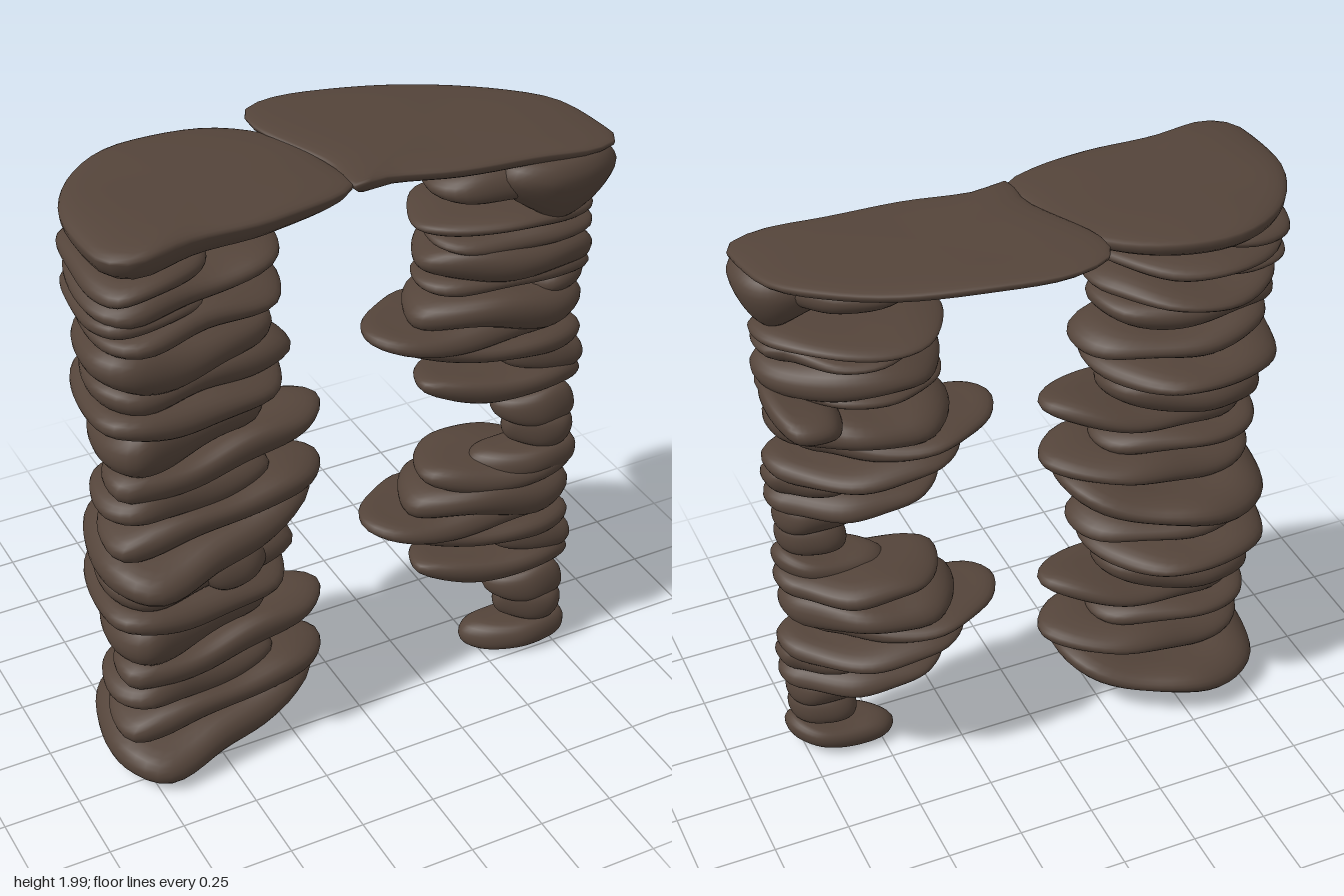
import * as THREE from 'three';

const material = new THREE.MeshStandardMaterial({ color: 0x54443a, roughness: 0.9 });

// Unit outlines: u runs from the outer to the inner end, v from back to front
const WIDE = [[0, .5], [.01, .85], [.13, 1], [.5, .97], [.88, .88], [.99, .7], [1, .48], [.92, .27], [.7, .06], [.4, 0], [.11, .14]];
const TAPERED = [[0, .58], [0, .88], [.2, 1], [.55, .97], [.9, .8], [1, .6], [.95, .3], [.8, .08], [.6, 0], [.35, .1], [.12, .4]];
const ROUND = [[0, .3], [0, .75], [.2, 1], [.7, 1], [1, .7], [.97, .25], [.75, 0], [.2, 0]];
const POINTED = [[0, .5], [0, .85], [.2, 1], [.5, .97], [.85, .66], [1, .36], [.9, .08], [.65, 0], [.2, .15]];

// Lofts a closed plan outline into a smooth slab; rim is the level of its widest line, from -1 to 1
function slab(name, points, heightAt, thickAt, seed, lumps = 1, rim = 0) {
  const N = 48, R = 14;
  const curve = new THREE.CatmullRomCurve3(points.map(([x, z]) => new THREE.Vector3(x, 0, z)), true, 'centripetal');
  let ring = curve.getSpacedPoints(N).slice(0, N);
  if (THREE.ShapeUtils.area(ring.map(p => new THREE.Vector2(p.x, p.z))) < 0) ring = ring.reverse();
  const c = ring.reduce((s, p) => s.add(p), new THREE.Vector3()).divideScalar(N);
  const pos = [], index = [];
  const add = (x, z, t) => {
    const wave = .08 * Math.sin(9 * x + 5 * z + seed * 2.3) + .05 * Math.sin(17 * x - 11 * z + seed);
    const swell = 1 + .1 * lumps * Math.sin(12 * x + 8 * z + seed * 4.1);
    const level = rim + (t > 0 ? 1 - rim : 1 + rim) * t;
    pos.push(x, heightAt(x, z) + thickAt(x, z) * (level / 2 * swell + wave * lumps), z);
  };
  add(c.x, c.z, -1);
  for (let j = 1; j < R; j++) {
    const a = -Math.PI / 2 + Math.PI * j / R;
    const s = Math.pow(Math.cos(a), .36), t = Math.sin(a);
    // the rim slides sideways a little from bottom to top
    const dx = .012 * t * Math.sin(seed * 1.7), dz = .012 * t * Math.cos(seed * 2.9);
    for (const p of ring) add(c.x + (p.x - c.x) * s + dx, c.z + (p.z - c.z) * s + dz, t);
  }
  add(c.x, c.z, 1);
  const last = pos.length / 3 - 1;
  for (let i = 0; i < N; i++) {
    const k = (i + 1) % N;
    index.push(0, 1 + i, 1 + k);
    for (let j = 0; j < R - 2; j++) {
      const a = 1 + j * N + i, b = 1 + j * N + k;
      index.push(a, a + N, b, b, a + N, b + N);
    }
    index.push(last, last - N + k, last - N + i);
  }
  const g = new THREE.BufferGeometry();
  g.setAttribute('position', new THREE.Float32BufferAttribute(pos, 3));
  g.setIndex(index);
  g.computeVertexNormals();
  const mesh = new THREE.Mesh(g, material);
  mesh.name = name;
  return mesh;
}

// One pillar stone: outer x, inner x, back z, front z, outer y, inner y, thickness
function stone(name, shape, [xo, xi, zb, zf, yo, yi, th], dy, seed) {
  const pts = shape.map(([u, v], i) => [
    xo + (xi - xo) * u,
    zb + (zf - zb) * (v + .03 * Math.sin(seed * 3.1 + i * 2.2)),
  ]);
  const f = x => THREE.MathUtils.clamp((x - xo) / (xi - xo), 0, 1);
  const back = z => THREE.MathUtils.clamp((zf - z) / (zf - zb), 0, 1);
  return slab(name, pts, x => dy + yo + (yi - yo) * f(x) ** 1.6,
    (x, z) => th * (1.08 - .2 * f(x)) * (1.05 - .3 * back(z) ** 2), seed);
}

// Runs of stones that repeat up each pillar
const STEP = .72;
const wideRun = [
  [-.84, -.14, -.22, .33, .08, .185, .14],
  [-.82, -.09, -.09, .28, .195, .27, .11],
  [-.83, -.27, -.08, .25, .305, .315, .10],
  [-.80, -.09, -.05, .26, .385, .465, .11],
  [-.81, -.28, -.14, .25, .515, .53, .16],
  [-.84, -.22, -.23, .32, .635, .645, .11],
  [-.83, -.19, -.13, .27, .735, .705, .11],
];
const narrowRun = [
  [.79, .45, .06, .27, .065, .055, .11],
  [.78, .57, .09, .26, .165, .165, .12],
  [.78, .53, .08, .25, .265, .25, .12],
];
const lobedRun = [
  [.81, .27, -.06, .25, .355, .395, .10],
  [.81, .52, -.02, .24, .44, .47, .10],
  [.81, .21, -.14, .25, .505, .535, .09],
  [.72, .10, -.12, .24, .585, .59, .09],
  [.79, .24, -.12, .27, .65, .655, .13],
];
const wideTop = [
  [-.85, -.26, -.12, .30, 1.55, 1.545, .14],
  [-.82, -.22, -.22, .31, 1.645, 1.67, .09],
  [-.85, -.45, -.15, .29, 1.705, 1.70, .07],
  [-.84, -.22, -.22, .30, 1.755, 1.785, .09],
  [-.84, -.46, -.19, .31, 1.82, 1.825, .08],
];
const narrowTop = [
  [.80, .26, -.08, .26, 1.50, 1.49, .07],
  [.81, .26, -.11, .28, 1.56, 1.56, .13],
  [.80, .30, -.09, .27, 1.635, 1.64, .07],
  [.81, .25, -.13, .27, 1.69, 1.695, .06],
  [.80, .28, -.08, .29, 1.85, 1.82, .11],
];

export function createModel() {
  const model = new THREE.Group();
  const wide = new THREE.Group(), narrow = new THREE.Group(), lintel = new THREE.Group();
  wide.name = 'widePillar';
  narrow.name = 'narrowPillar';
  lintel.name = 'lintel';
  model.add(wide, narrow, lintel);

  // Both pillars repeat the same stones in a lower and an upper run
  for (const dy of [0, STEP]) {
    wideRun.forEach((s, i) => wide.add(stone('wideStone', WIDE, s, dy, i + 1)));
    narrowRun.forEach((s, i) => narrow.add(stone('neckStone', POINTED, s, dy, i + 8)));
    lobedRun.forEach((s, i) => narrow.add(stone('lobedStone', TAPERED, s, dy, i + 11)));
  }
  wideTop.forEach((s, i) => wide.add(stone('upperWideStone', WIDE, s, 0, i + 31)));
  narrowTop.forEach((s, i) => narrow.add(stone('upperLobedStone', TAPERED, s, 0, i + 36)));

  // Odd stones that break the rhythm
  wide.add(stone('wedgeStone', ROUND, [-.56, -.31, .03, .28, .75, .74, .11], 0, 3));
  narrow.add(stone('middleStone', TAPERED, [.80, .29, -.09, .26, .745, .755, .10], 0, 5));
  narrow.add(stone('sideStone', ROUND, [.81, .61, -.10, .24, 1.45, 1.44, .11], 0, 8));

  // Chunky stone that carries the lintel, narrower at its foot
  const head = stone('headStone', ROUND, [.85, .47, .05, .33, 1.82, 1.83, .21], 0, 4);
  const p = head.geometry.attributes.position;
  for (let i = 0; i < p.count; i++) {
    const k = THREE.MathUtils.clamp(.74 + (p.getY(i) - 1.72) * 1.9, .72, 1);
    p.setX(i, .68 + (p.getX(i) - .68) * k);
    p.setZ(i, .19 + (p.getZ(i) - .19) * k);
  }
  head.geometry.computeVertexNormals();
  narrow.add(head);

  // Two broad cap slabs, flat on top and bellied below, meeting in the middle
  const capA = [[-.84, .2], [-.83, -.02], [-.72, -.21], [-.56, -.31], [-.35, -.31], [-.2, -.25], [-.08, -.12],
    [-.03, .08], [-.02, .22], [-.3, .3], [-.55, .3], [-.75, .33], [-.82, .28]];
  const capB = [[-.14, -.2], [-.12, -.3], [0, -.345], [.25, -.31], [.5, -.23], [.68, -.12], [.8, 0], [.84, .15],
    [.84, .27], [.75, .31], [.55, .29], [.3, .27], [.08, .22], [-.03, .23], [-.03, .1]];
  lintel.add(slab('wideCap', capA, (x, z) => 1.942 + .03 * x - .02 * z, (x, z) => .08 - .07 * x + .04 * z, 2, .2, .45));
  lintel.add(slab('longCap', capB, (x, z) => 1.95 - .03 * x - .045 * z, (x, z) => .07 - .01 * x + .03 * z, 6, .2, .4));
  return model;
}
